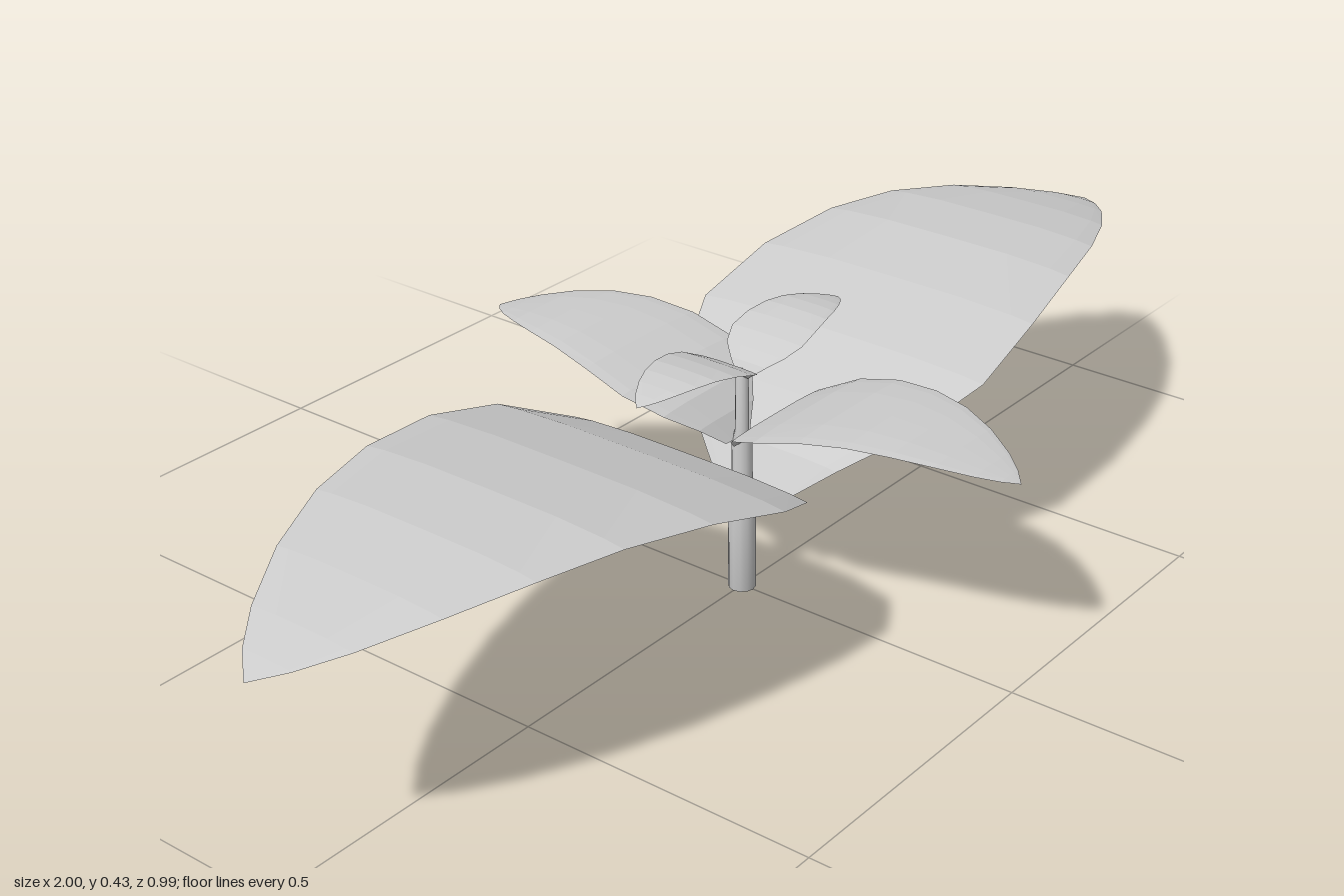
import * as THREE from 'three';

// Leaf stations from base to tip: distance out, height, half width, half thickness
const STATIONS = [
  [0.015, 0.0, 0.06, 0.001], [0.06, 0.06, 0.135, 0.005], [0.13, 0.12, 0.22, 0.008],
  [0.25, 0.175, 0.27, 0.009], [0.4, 0.219, 0.262, 0.009], [0.55, 0.24, 0.235, 0.009],
  [0.68, 0.239, 0.2, 0.008], [0.8, 0.224, 0.15, 0.006], [0.9, 0.202, 0.092, 0.004],
  [0.96, 0.186, 0.045, 0.002], [1.0, 0.173, 0.0, 0.0],
];
const ACROSS = [-1, -0.85, -0.5, 0, 0.5, 0.85, 1];

// A thin arching blade, closed by an upper and a lower skin that meet at the rim
function leafGeometry() {
  const positions = [], index = [];
  const n = ACROSS.length;
  for (const side of [1, -1]) {
    const start = positions.length / 3;
    for (const [x, y, w, t] of STATIONS) {
      for (const u of ACROSS) positions.push(x, y + side * t * (1 - u ** 4), u * w);
    }
    for (let i = 0; i < STATIONS.length - 1; i++) {
      for (let j = 0; j < n - 1; j++) {
        const a = start + i * n + j, b = a + 1, c = a + n, d = c + 1;
        if (side > 0) index.push(a, b, c, b, d, c);
        else index.push(a, c, b, b, c, d);
      }
    }
  }
  const g = new THREE.BufferGeometry();
  g.setAttribute('position', new THREE.Float32BufferAttribute(positions, 3));
  g.setIndex(index);
  g.computeVertexNormals();
  return g;
}

export function createModel() {
  const model = new THREE.Group();
  model.name = 'seedling';
  const leafMaterial = new THREE.MeshStandardMaterial({
    color: 0xcccccc, flatShading: true, side: THREE.DoubleSide,
  });
  const stemMaterial = new THREE.MeshStandardMaterial({ color: 0xcccccc });

  // Stem, stepping thinner above each pair of leaves
  const profile = [[0, 0], [0.022, 0], [0.022, 0.14], [0.017, 0.165], [0.016, 0.255],
    [0.011, 0.275], [0.01, 0.365], [0, 0.38]].map(([r, y]) => new THREE.Vector2(r, y));
  const stem = new THREE.Mesh(new THREE.LatheGeometry(profile, 12), stemMaterial);
  stem.name = 'stem';
  model.add(stem);

  // Three crossed pairs of leaves, each half the size of the pair below
  const blade = leafGeometry();
  const pairs = [
    ['lowerLeaf', 1, 0.16, 0],
    ['middleLeaf', 0.495, 0.26, Math.PI / 2],
    ['topLeaf', 0.245, 0.367, 0],
  ];
  for (const [name, scale, height, turn] of pairs) {
    for (const half of [0, Math.PI]) {
      const leaf = new THREE.Mesh(blade, leafMaterial);
      leaf.name = name + (half ? 'B' : 'A');
      leaf.scale.setScalar(scale);
      leaf.position.y = height;
      leaf.rotation.y = turn + half;
      model.add(leaf);
    }
  }
  return model;
}
